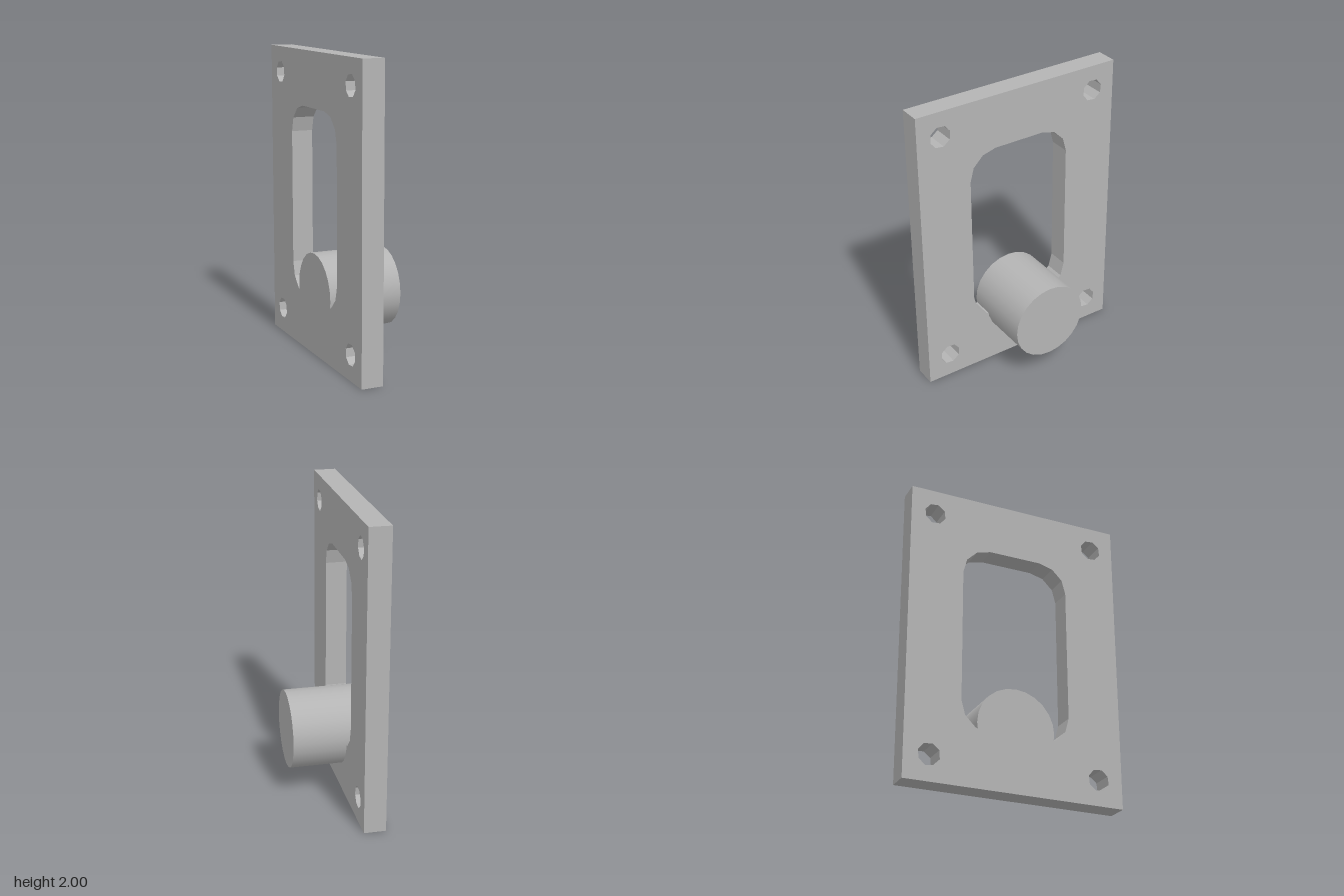
import * as THREE from 'three';

const PLATE_BACK = -0.25, PLATE_FRONT = -0.105, BOSS_END = 0.25;

// Points on an arc, as a coarse polyline
function arc(cx, cy, r, start, sweep, segments) {
  const points = [];
  for (let i = 0; i <= segments; i++) {
    const a = start + (sweep * i) / segments;
    points.push(new THREE.Vector2(cx + r * Math.cos(a), cy + r * Math.sin(a)));
  }
  return points;
}

// Rounded rectangle centred on (0, cy), with faceted corners
function roundedOutline(halfW, halfH, cy, r, segments) {
  const w = halfW - r, h = halfH - r;
  const corners = [[w, h], [-w, h], [-w, -h], [w, -h]];
  return corners.flatMap(([x, y], i) =>
    arc(x, cy + y, r, (i * Math.PI) / 2, Math.PI / 2, segments));
}

export function createModel() {
  const group = new THREE.Group();
  group.name = 'mountingPlateWithBoss';
  const metal = new THREE.MeshStandardMaterial({ color: 0xb4b4b4 });
  metal.name = 'grey metal';

  // Flat plate with a tall window and four bolt holes
  const outline = new THREE.Shape([
    new THREE.Vector2(-0.735, 0), new THREE.Vector2(0.735, 0),
    new THREE.Vector2(0.735, 2), new THREE.Vector2(-0.735, 2),
  ]);
  outline.holes.push(new THREE.Path(roundedOutline(0.368, 0.637, 1, 0.19, 3)));
  for (const x of [-0.57, 0.57]) {
    for (const y of [0.17, 1.83]) {
      const ring = arc(x, y, 0.073, 0.3, Math.PI * 2, 8).slice(0, -1);
      outline.holes.push(new THREE.Path(ring));
    }
  }
  const plateGeometry = new THREE.ExtrudeGeometry(outline, {
    depth: PLATE_FRONT - PLATE_BACK, bevelEnabled: false,
  });
  plateGeometry.rotateY(Math.PI / 2).translate(PLATE_BACK, 0, 0);
  const plate = new THREE.Mesh(plateGeometry, metal);
  plate.name = 'plate';
  group.add(plate);

  // Round boss passing through the plate, flush with its back face
  const bossGeometry = new THREE.CylinderGeometry(0.263, 0.263, BOSS_END - PLATE_BACK, 24);
  bossGeometry.rotateZ(-Math.PI / 2);
  const boss = new THREE.Mesh(bossGeometry, metal);
  boss.name = 'boss';
  boss.position.set((BOSS_END + PLATE_BACK) / 2, 0.425, 0);
  group.add(boss);

  return group;
}
